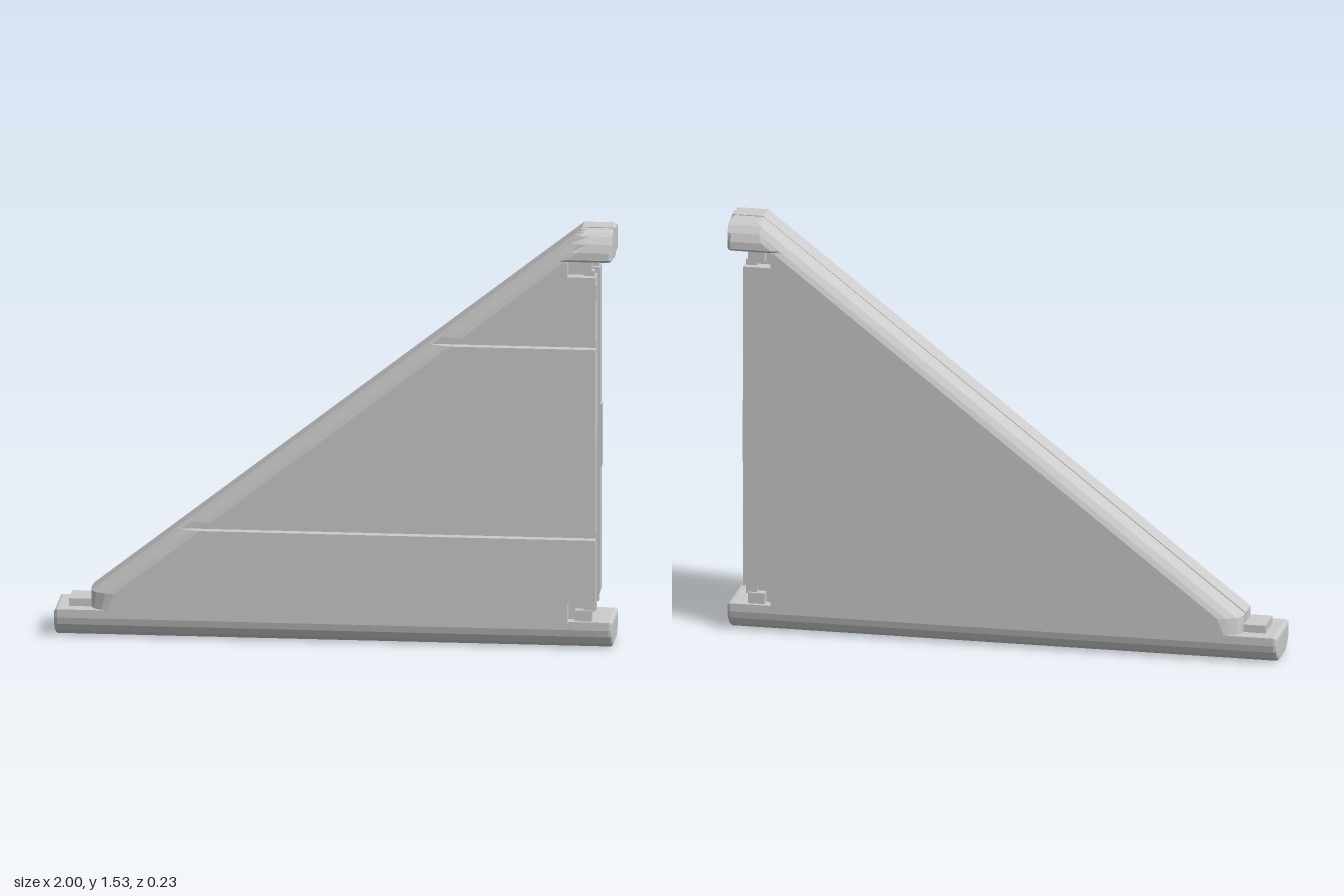
import * as THREE from 'three';

const mat = new THREE.MeshStandardMaterial({ color: 0xcccccc, flatShading: true });

// x of the sloping outer edge at height y
const slopeX = (y) => -0.87 + Math.max(0, y - 0.16) / 0.78;

// rounded edge of the sloping rail: [distance from the edge, half width]
const railProfile = [[0, 0.06], [0.02, 0.09], [0.055, 0.107], [0.085, 0.115]];

function add(parent, name, geometry, x = 0, y = 0, z = 0) {
  const mesh = new THREE.Mesh(geometry, mat);
  mesh.name = name;
  mesh.position.set(x, y, z);
  parent.add(mesh);
  return mesh;
}

function box(parent, name, x0, x1, y0, y1, z0, z1) {
  return add(parent, name, new THREE.BoxGeometry(x1 - x0, y1 - y0, z1 - z0),
    (x0 + x1) / 2, (y0 + y1) / 2, (z0 + z1) / 2);
}

// Skin a stack of horizontal rings { y, pts: [[x, z], ...] } and close both ends
function loft(rings) {
  const pos = [];
  const put = (r, i) => pos.push(r.pts[i][0], r.y, r.pts[i][1]);
  for (let k = 0; k < rings.length - 1; k++) {
    const a = rings[k], b = rings[k + 1], n = a.pts.length;
    for (let i = 0; i < n; i++) {
      const j = (i + 1) % n;
      put(a, i); put(a, j); put(b, j);
      put(a, i); put(b, j); put(b, i);
    }
  }
  const close = (r, up) => {
    const outline = r.pts.map(([x, z]) => new THREE.Vector2(x, -z));
    for (const [i, j, k] of THREE.ShapeUtils.triangulateShape(outline, [])) {
      put(r, i); put(r, up ? j : k); put(r, up ? k : j);
    }
  };
  close(rings[0], false);
  close(rings[rings.length - 1], true);
  const g = new THREE.BufferGeometry();
  g.setAttribute('position', new THREE.Float32BufferAttribute(pos, 3));
  g.computeVertexNormals();
  return g;
}

// Ring of the fin body: rail edge, flat side panels and the channel in the upright edge
function bodyRing(y, { groove = false, notch = false, inner = 0.04 } = {}) {
  const half = (front) => {
    const xr = notch ? 0.84 : 0.94, xn = notch ? 0.9 : 0.94;
    const max = front && groove ? 0.08 : 1;
    const zs = front ? inner : 0.045;
    const spread = y < 0.16 ? 0.7 : 1;
    return [
      ...railProfile.map(([d, z]) => [slopeX(y) + d * spread, z]),
      [xr, 0.115], [xr, 0.07], [xn, 0.07], [xn, zs], [0.9, zs],
    ].map(([x, z]) => [x, Math.min(z, max) * (front ? 1 : -1)]);
  };
  return { y, pts: [...half(true), ...half(false).reverse()] };
}

// Ring of the rounded top cap, w = half width at that height
function capRing(y, w, end = 1) {
  const half = [
    ...railProfile.map(([d, z]) => [slopeX(y) + d, z]),
    [end - 0.012, 0.115], [end, 0.105],
  ].map(([x, z]) => [x, Math.min(z, w)]);
  return { y, pts: [...half, ...half.map(([x, z]) => [x, -z]).reverse()] };
}

export function createModel() {
  const root = new THREE.Group();
  root.name = 'triangularFin';

  // base rail with rounded underside, running along x
  const b = new THREE.Shape([
    [-0.06, 0], [0.06, 0], [0.09, 0.018], [0.109, 0.045], [0.115, 0.07], [0.115, 0.1],
    [-0.115, 0.1], [-0.115, 0.07], [-0.109, 0.045], [-0.09, 0.018],
  ].map(([z, y]) => new THREE.Vector2(z, y)));
  const baseGeo = new THREE.ExtrudeGeometry(b, {
    depth: 1.976, bevelEnabled: true, bevelSize: 0.012, bevelOffset: -0.012,
    bevelThickness: 0.012, bevelSegments: 2,
  });
  baseGeo.translate(0, 0, -0.988).rotateY(Math.PI / 2);
  add(root, 'baseRail', baseGeo);

  // fin body with two grooves across the front and notched corners
  const lower = { inner: 0.065 };
  const groove = (y0, y1, o) => [
    bodyRing(y0, o), bodyRing(y0, { ...o, groove: true }),
    bodyRing(y1, { ...o, groove: true }), bodyRing(y1, o),
  ];
  add(root, 'finBody', loft([
    bodyRing(0.095, { ...lower, notch: true }),
    bodyRing(0.16, { ...lower, notch: true }),
    bodyRing(0.17, { ...lower, notch: true }),
    bodyRing(0.17, lower),
    ...groove(0.4, 0.43, lower),
    bodyRing(0.73, lower),
    bodyRing(0.8),
    ...groove(1.1, 1.13),
    bodyRing(1.365),
    bodyRing(1.365, { notch: true }),
    bodyRing(1.42, { notch: true }),
  ]));

  // top cap overhanging the upright edge
  add(root, 'topCap', loft([
    capRing(1.42, 0.108, 0.992), capRing(1.428, 0.115), capRing(1.455, 0.115),
    capRing(1.485, 0.105), capRing(1.51, 0.087), capRing(1.522, 0.072, 0.998),
    capRing(1.528, 0.06, 0.99),
  ]));

  // narrow raised strip along the slope and over the cap
  const s = new THREE.Shape([
    [-0.872, 0.11], [-0.84, 0.11], [0.9, 1.46], [0.95, 1.42], [1, 1.42],
    [1, 1.525], [0.994, 1.531], [0.885, 1.531], [-0.872, 0.163],
  ].map(([x, y]) => new THREE.Vector2(x, y)));
  const stripGeo = new THREE.ExtrudeGeometry(s, { depth: 0.06, bevelEnabled: false });
  add(root, 'slopeStrip', stripGeo, 0, 0, -0.03);

  // small tab on the base in front of the slope
  box(root, 'baseTab', -0.95, -0.86, 0.095, 0.128, -0.06, 0.06);

  // brackets inside the corner notches, both sides
  for (const side of [1, -1]) {
    for (const [y, dir] of [[0.1, 1], [1.42, -1]]) {
      const corner = new THREE.Group();
      corner.name = 'cornerBracket';
      corner.position.y = y;
      corner.scale.set(1, 1, 1);
      const span = (a, c) => [Math.min(a * dir, c * dir), Math.max(a * dir, c * dir)];
      box(corner, 'bracketBlock', 0.865, 0.925, ...span(0, 0.04), ...(side > 0 ? [0.065, 0.1] : [-0.1, -0.065]));
      box(corner, 'bracketPin', 0.895, 0.935, ...span(0.035, 0.07), ...(side > 0 ? [0.065, 0.09] : [-0.09, -0.065]));
      root.add(corner);
    }
  }

  // thin rib in the channel and small catch on the front panel edge
  box(root, 'channelRib', 0.895, 0.906, 0.19, 0.58, 0.027, 0.033);
  box(root, 'edgeCatch', 0.93, 0.945, 1.28, 1.34, 0.1, 0.119);
  box(root, 'edgeStrip', 0.93, 0.946, 0.63, 0.86, -0.1, -0.06);
  return root;
}
